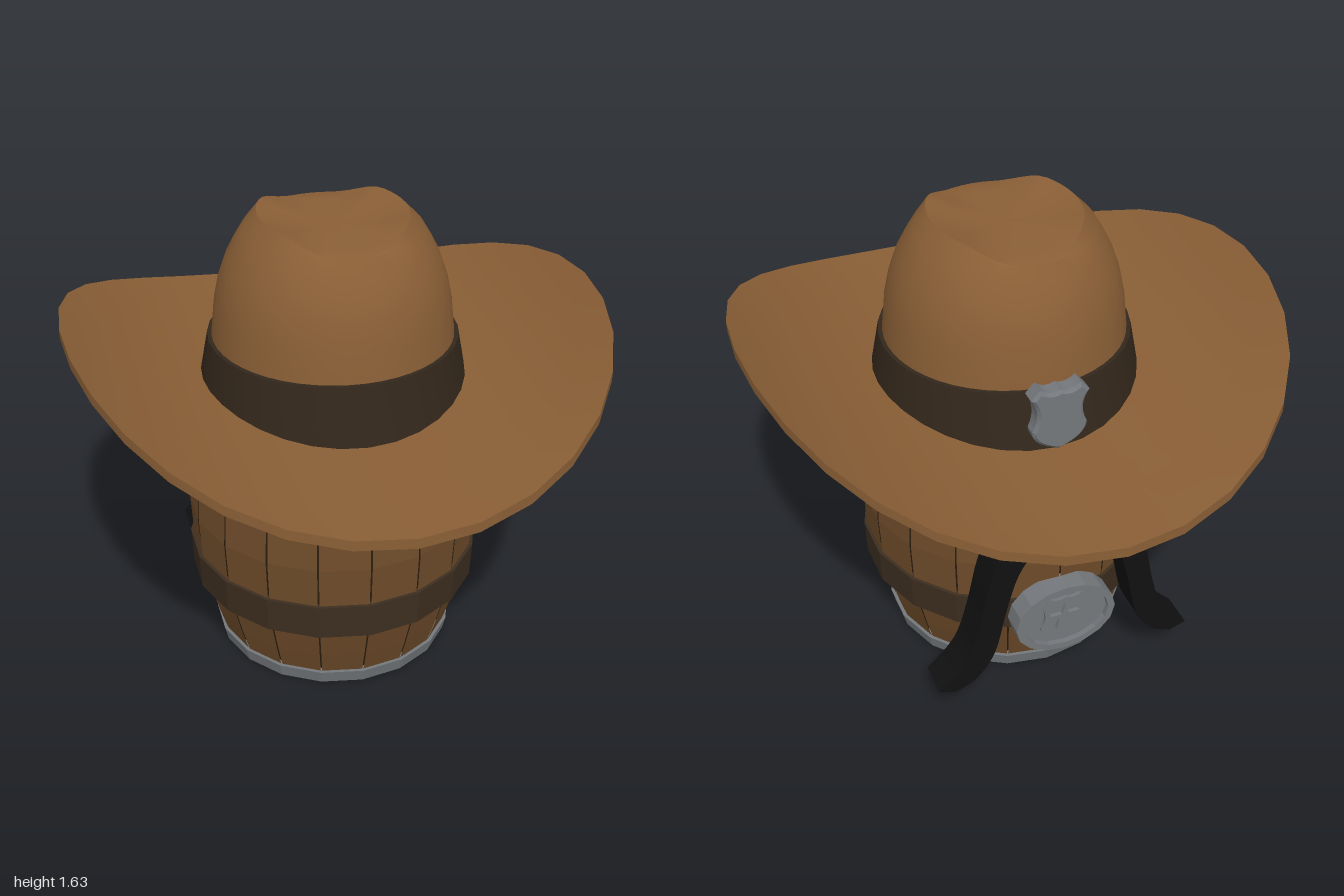
import * as THREE from 'three';
import { toCreasedNormals } from 'three/addons/utils/BufferGeometryUtils.js';

const mat = (color, extra = {}) => new THREE.MeshStandardMaterial({ color, ...extra });
const flat = { flatShading: true };
const M = {
  felt: mat(0x8a5f36), ribbon: mat(0x33271b), wood: mat(0x6f4c2a, { ...flat, side: THREE.DoubleSide }),
  gap: mat(0x2c1e10, flat), plank: mat(0x4a331c, flat), belt: mat(0x3d2e20, flat),
  steel: mat(0x74787c, flat), eye: mat(0xdddddd), hair: mat(0x111111),
};
const pts = (a) => a.map(([x, y]) => new THREE.Vector2(x, y));
const lathe = (profile, n, start, len) => new THREE.LatheGeometry(pts(profile), n, start, len);

export function createModel() {
  const root = new THREE.Group();
  const add = (name, geo, material, parent = root) => {
    const mesh = new THREE.Mesh(geo, material);
    mesh.name = name;
    parent.add(mesh);
    return mesh;
  };
  const extrude = (shape, depth, bevel = 0) => new THREE.ExtrudeGeometry(shape, {
    depth, curveSegments: 8, bevelEnabled: bevel > 0, bevelSize: bevel, bevelThickness: bevel, bevelSegments: 1, bevelOffset: -bevel,
  });

  // Barrel: eighteen flat staves around a dark core that shows in the joints
  const barrel = new THREE.Group();
  barrel.name = 'barrel';
  root.add(barrel);
  const bulge = [[0.415, 0.01], [0.455, 0.14], [0.49, 0.27], [0.512, 0.4], [0.52, 0.55], [0.508, 0.74], [0.48, 0.87], [0.435, 1.0], [0.41, 1.05]];
  const step = Math.PI / 9;
  for (let i = 0; i < 18; i++) add('stave', lathe(bulge, 1, i * step + 0.006, step - 0.012), M.wood, barrel);
  add('barrelCore', lathe([[0, 0.025], ...bulge.map(([r, y]) => [r - 0.012, Math.max(y, 0.025)]), [0, 1.05]], 18), M.gap, barrel);
  for (let i = -3; i <= 3; i++) {
    const z = i * 0.108;
    const len = 2 * Math.sqrt(0.39 ** 2 - (Math.abs(z) + 0.04) ** 2);
    add('bottomPlank', new THREE.BoxGeometry(len, 0.012, 0.104), M.plank, barrel).position.set(0, 0.022, z);
  }

  // Hoops and belt: closed rings with the barrel's sides
  const ring = (name, y0, r0, y1, r1, material, inner = 0.04) =>
    add(name, lathe([[r0 - inner, y0], [r0, y0], [r1, y1], [r1 - inner, y1], [r0 - inner, y0]], 18), material, barrel);
  ring('bottomHoop', 0, 0.428, 0.05, 0.44, M.steel);
  ring('upperHoop', 0.725, 0.518, 0.765, 0.513, M.steel);
  ring('belt', 0.27, 0.518, 0.4, 0.524, M.belt);

  // Hat brim: a thick disc whose sides curl upward
  const hat = new THREE.Group();
  hat.name = 'hat';
  root.add(hat);
  const radii = [0.36, 0.5, 0.62, 0.74, 0.87, 1];
  const brim = lathe([...radii.map((r) => [r, 0.96]), ...radii.reverse().map((r) => [r, 0.995])], 32);
  const bp = brim.attributes.position;
  for (let i = 0; i < bp.count; i++) {
    const x = bp.getX(i);
    bp.setXYZ(i, x - 0.083 * x ** 3, bp.getY(i) + 0.312 * x * x, bp.getZ(i));
  }
  add('brim', toCreasedNormals(brim, 0.6), M.felt, hat);

  // Crown: rim raised at the sides, lowered at front and back, with a dished top
  const side = [[0.44, 0.98], [0.415, 1.2], [0.402, 1.32], [0.385, 1.4], [0.36, 1.472], [0.33, 1.53], [0.3, 1.58]];
  const top = [1, 0.75, 0.5, 0.25, 0];
  const n = side.length + top.length;
  const crown = lathe([...side, ...top.map((f) => [f, 1.6])], 48);
  const cp = crown.attributes.position;
  for (let i = 0; i < cp.count; i++) {
    const j = (i % n) - side.length;
    if (j < 0) continue;
    const a = (Math.floor(i / n) / 48) * Math.PI * 2;
    const k = THREE.MathUtils.smoothstep(Math.sin(a) ** 2, 0, 0.75);
    const f = top[j];
    cp.setXYZ(i, 0.25 * f * Math.sin(a), 1.586 + f * f * (0.044 * k - 0.005 * (1 - k)), 0.297 * f * Math.cos(a));
  }
  add('crown', toCreasedNormals(crown, 0.6), M.felt, hat);
  add('hatBand', toCreasedNormals(lathe([[0.472, 0.98], [0.43, 1.2], [0.405, 1.2]], 32), 0.6), M.ribbon, hat);

  // Shield outline shared by the hat badge and the buckle emblem
  const shield = (w, h) => {
    const s = new THREE.Shape();
    s.moveTo(0, h * 0.9);
    s.quadraticCurveTo(w * 0.35, h * 0.75, w * 0.7, h);
    s.lineTo(w, h * 0.72);
    s.quadraticCurveTo(w * 0.6, h * 0.25, w * 0.95, -h * 0.3);
    s.quadraticCurveTo(w * 0.95, -h * 0.75, 0, -h);
    s.quadraticCurveTo(-w * 0.95, -h * 0.75, -w * 0.95, -h * 0.3);
    s.quadraticCurveTo(-w * 0.6, h * 0.25, -w, h * 0.72);
    s.lineTo(-w * 0.7, h);
    s.quadraticCurveTo(-w * 0.35, h * 0.75, 0, h * 0.9);
    return s;
  };
  const badge = add('hatBadge', extrude(shield(0.1, 0.12), 0.05, 0.01), M.steel, hat);
  badge.position.set(0, 1.12, -0.43);
  badge.rotation.y = Math.PI;

  // Oval buckle with a raised rim, shield outline and star
  const buckle = new THREE.Group();
  buckle.name = 'buckle';
  buckle.position.set(0, 0.335, -0.5);
  buckle.rotation.y = Math.PI;
  root.add(buckle);
  const oval = (rx, ry) => new THREE.Shape().absellipse(0, 0, rx, ry, 0, Math.PI * 2);
  const rimShape = oval(0.185, 0.14);
  rimShape.holes.push(oval(0.16, 0.116));
  const outline = shield(0.095, 0.1);
  outline.holes.push(shield(0.083, 0.088));
  const star = new THREE.Shape(Array.from({ length: 10 }, (_, i) => {
    const r = i % 2 ? 0.022 : 0.055;
    return new THREE.Vector2(r * Math.sin(i * Math.PI / 5), r * Math.cos(i * Math.PI / 5));
  }));
  add('bucklePlate', extrude(oval(0.18, 0.135), 0.06), M.steel, buckle);
  add('buckleRim', extrude(rimShape, 0.08), M.steel, buckle);
  add('buckleShield', extrude(outline, 0.072), M.steel, buckle);
  add('buckleStar', extrude(star, 0.074), M.steel, buckle);

  // Eyes half sunk into the staves
  for (const s of [1, -1]) {
    add(s > 0 ? 'leftEye' : 'rightEye', new THREE.SphereGeometry(0.132, 28, 20), M.eye).position.set(s * 0.28, 0.838, -0.375);
  }

  // Drooping moustache, each outline half a smooth curve
  const outer = new THREE.SplineCurve(pts([[0, 0.772], [0.08, 0.795], [0.15, 0.795], [0.22, 0.75], [0.28, 0.6], [0.32, 0.42], [0.37, 0.27], [0.47, 0.16]])).getPoints(28);
  const inner = new THREE.SplineCurve(pts([[0.41, 0.14], [0.33, 0.18], [0.265, 0.28], [0.225, 0.45], [0.18, 0.6], [0.11, 0.69], [0, 0.71]])).getPoints(24);
  const half = [...outer, ...inner];
  const mirrored = half.slice(1, -1).reverse().map((p) => new THREE.Vector2(-p.x, p.y));
  const moustache = add('moustache', toCreasedNormals(extrude(new THREE.Shape([...half, ...mirrored]), 0.126), 0.6), M.hair);
  moustache.position.z = -0.588;

  return root;
}
